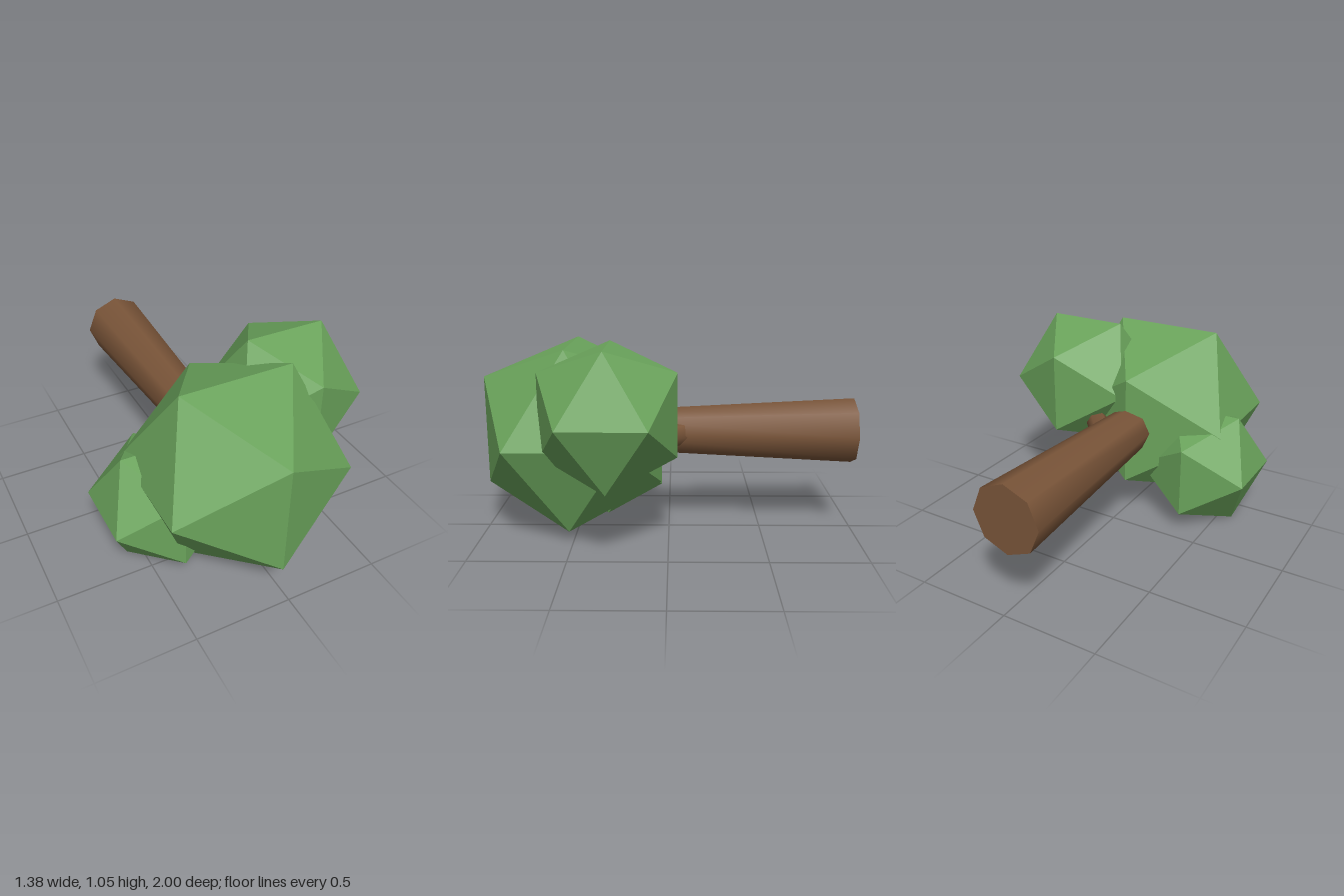
import * as THREE from 'three';

export function createModel() {
  const group = new THREE.Group();
  const leaf = new THREE.MeshStandardMaterial({ color: 0x6aa35b, flatShading: true });
  const bark = new THREE.MeshStandardMaterial({ color: 0x7a5539 });

  // Tapered round piece of wood running between two points
  function wood(name, from, to, r0, r1, sides) {
    const a = new THREE.Vector3(...from);
    const dir = new THREE.Vector3(...to).sub(a);
    const mesh = new THREE.Mesh(new THREE.CylinderGeometry(r1, r0, dir.length(), sides), bark);
    mesh.position.copy(a).addScaledVector(dir, 0.5);
    mesh.quaternion.setFromUnitVectors(new THREE.Vector3(0, 1, 0), dir.normalize());
    mesh.name = name;
    group.add(mesh);
  }

  // Trunk lying along z, and a side branch into the upper foliage
  wood('trunk', [-0.05, 0.535, -1], [-0.05, 0.535, 0.38], 0.179, 0.107, 8);
  wood('branch', [-0.05, 0.535, -0.143], [0.3, 0.545, 0.25], 0.07, 0.055, 6);

  // Faceted foliage clumps
  const clumps = [
    ['mainFoliage', 0.562, -0.05, 0.534, 0.521],
    ['leftFoliage', 0.404, 0.345, 0.704, 0.298],
    ['rightFoliage', 0.361, -0.385, 0.307, 0.355],
  ];
  for (const [name, radius, x, y, z] of clumps) {
    const mesh = new THREE.Mesh(new THREE.IcosahedronGeometry(radius, 0), leaf);
    mesh.position.set(x, y, z);
    mesh.name = name;
    group.add(mesh);
  }
  return group;
}
